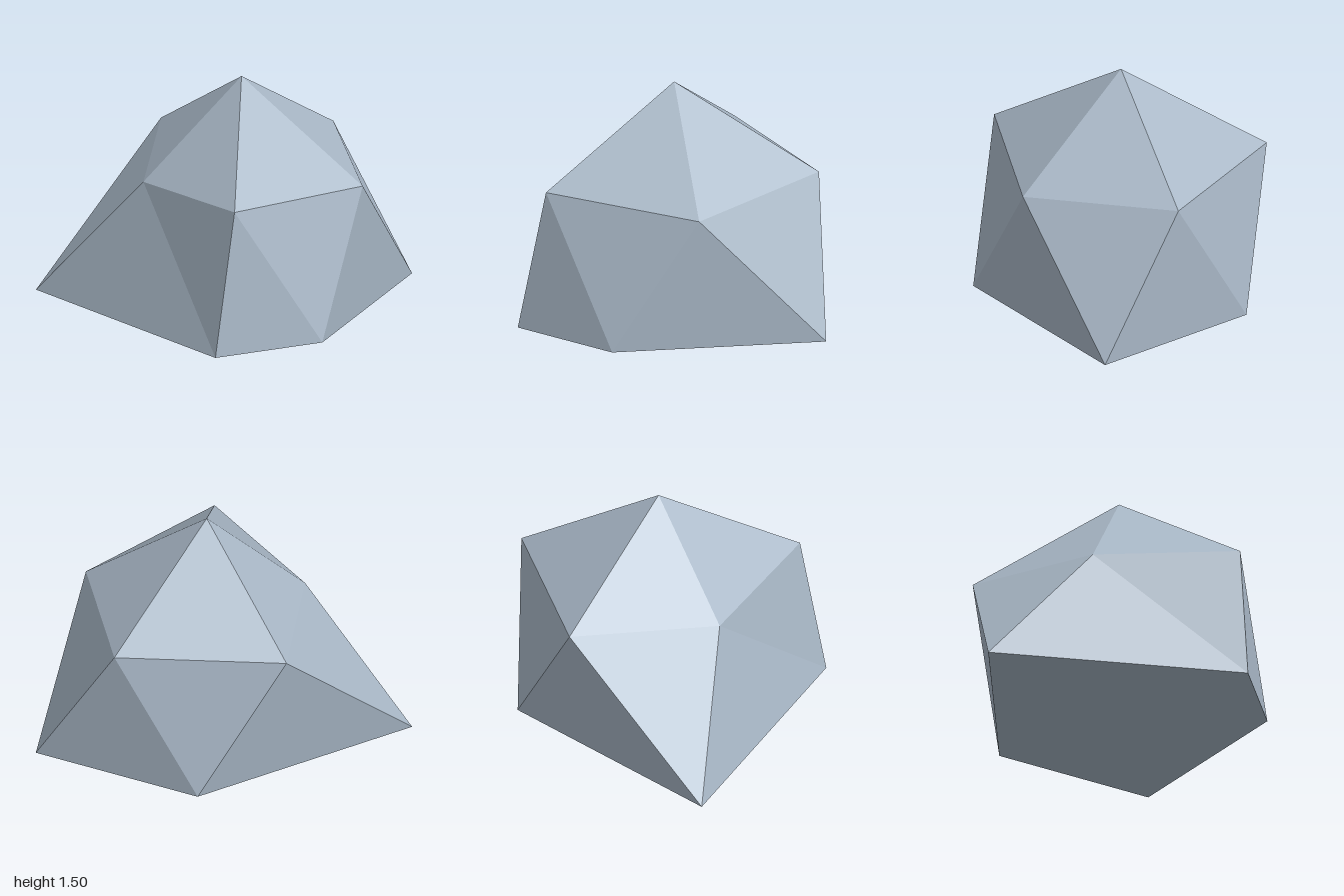
import * as THREE from 'three';

// Faceted boulder: a peak, a shoulder ring and a flat base ring, each of five corners
const PEAK = [-0.05, 1.5, 0.11];
const SHOULDER = [
  [-0.80, 0.93, 0.66], [0.20, 0.87, 0.89], [0.87, 0.93, 0.11],
  [0.23, 0.93, -0.77], [-0.59, 0.86, -0.25],
];
const BASE = [
  [-0.98, 0, 0.65], [-0.34, 0, 1.0], [0.98, 0, 0.66],
  [0.70, 0, -0.43], [-0.74, 0, -1.0],
];

function boulderGeometry() {
  const positions = [];
  const face = (a, b, c) => positions.push(...a, ...b, ...c);
  const n = BASE.length;
  for (let i = 0; i < n; i++) {
    const j = (i + 1) % n;
    face(PEAK, SHOULDER[i], SHOULDER[j]); // cap
    face(SHOULDER[i], BASE[i], BASE[j]); // flank, pointing up
    face(SHOULDER[i], BASE[j], SHOULDER[j]); // flank, pointing down
    if (i > 0 && i < n - 1) face(BASE[0], BASE[j], BASE[i]); // underside
  }
  const geometry = new THREE.BufferGeometry();
  geometry.setAttribute('position', new THREE.Float32BufferAttribute(positions, 3));
  geometry.computeVertexNormals(); // unshared corners keep every facet flat
  return geometry;
}

export function createModel() {
  const stone = new THREE.MeshStandardMaterial({ color: 0xa9b8c7, flatShading: true });
  stone.name = 'blue grey stone';

  const boulder = new THREE.Mesh(boulderGeometry(), stone);
  boulder.name = 'boulder';

  const group = new THREE.Group();
  group.name = 'rock';
  group.add(boulder);
  return group;
}
